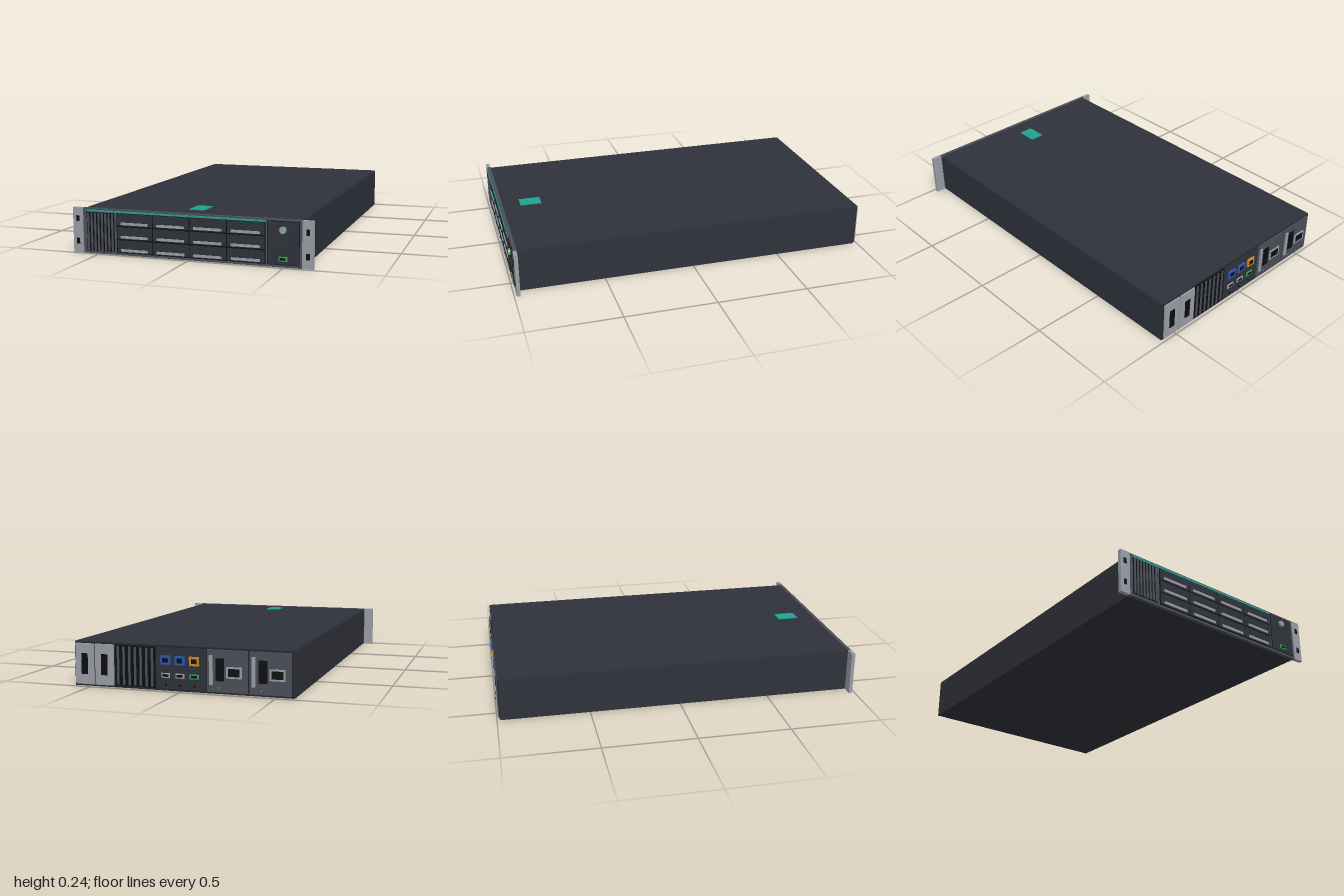
import * as THREE from 'three';

const mats = {};
const mat = (color) => (mats[color] ??= new THREE.MeshStandardMaterial({ color }));
const DARK = 0x2f323a, BLACK = 0x0c0d0f, BEZEL = 0x4b4f5a, LIGHT = 0x9a9ea6;
const TEAL = 0x1fa292, GREEN = 0x2fa84f, BLUE = 0x2a55b0, ORANGE = 0xc98a1e, SLAT = 0x4a4e57;

// Box given by its ranges in x, y and z
function box(parent, name, color, x0, x1, y0, y1, z0, z1) {
  const m = new THREE.Mesh(new THREE.BoxGeometry(x1 - x0, y1 - y0, Math.abs(z1 - z0)), mat(color));
  m.position.set((x0 + x1) / 2, (y0 + y1) / 2, (z0 + z1) / 2);
  m.name = name;
  parent.add(m);
  return m;
}

// Box given by its centre and size in x and y
const plate = (parent, name, color, x, y, w, h, z0, z1) =>
  box(parent, name, color, x - w / 2, x + w / 2, y - h / 2, y + h / 2, z0, z1);

// Short cylinder facing +z
function disc(parent, name, color, x, y, r, z0, z1, sides = 24) {
  const g = new THREE.CylinderGeometry(r, r, z1 - z0, sides).rotateX(Math.PI / 2);
  const m = new THREE.Mesh(g, mat(color));
  m.position.set(x, y, (z0 + z1) / 2);
  m.name = name;
  parent.add(m);
}

function group(parent, name) {
  const g = new THREE.Group();
  g.name = name;
  parent.add(g);
  return g;
}

function buildFront(root) {
  const front = group(root, 'frontPanel');
  box(front, 'bezel', BEZEL, -0.594, 0.594, 0, 0.24, 0.965, 0.984);
  box(front, 'accentStrip', TEAL, -0.57, 0.405, 0.223, 0.232, 0.98, 0.988);

  // Rack ears with their mounting slots
  for (const s of [-1, 1]) {
    const ear = group(front, s > 0 ? 'leftEar' : 'rightEar');
    plate(ear, 'earPlate', LIGHT, s * 0.621, 0.12, 0.058, 0.24, 0.967, 0.987);
    for (const y of [0.182, 0.062]) plate(ear, 'earSlot', BLACK, s * 0.622, y, 0.018, 0.031, 0.98, 0.9885);
  }

  // Slatted air intake
  const vent = group(front, 'airIntake');
  box(vent, 'intakeRecess', BLACK, -0.571, -0.413, 0.014, 0.219, 0.98, 0.986);
  for (let i = 0; i < 8; i++) plate(vent, 'intakeSlat', SLAT, -0.561 + i * 0.0197, 0.1165, 0.01, 0.2, 0.984, 0.991);

  // Drive bays, four columns by three rows
  const bays = group(front, 'driveBays');
  box(bays, 'bayRecess', BLACK, -0.4, 0.406, 0.012, 0.221, 0.98, 0.985);
  for (let c = 0; c < 4; c++) {
    for (let r = 0; r < 3; r++) {
      const x = -0.297 + c * 0.2005, y = 0.048 + r * 0.07;
      const bay = group(bays, 'driveBay');
      plate(bay, 'driveTray', DARK, x, y, 0.194, 0.062, 0.982, 0.99);
      plate(bay, 'trayHandle', LIGHT, x - 0.001, y - 0.02, 0.15, 0.013, 0.988, 0.995);
      plate(bay, 'trayLight', 0x1c4a2a, x - 0.073, y + 0.014, 0.006, 0.006, 0.988, 0.991);
    }
  }

  // Control panel
  const panel = group(front, 'controlPanel');
  box(panel, 'panelOutline', BLACK, 0.414, 0.579, 0.012, 0.231, 0.98, 0.9855);
  box(panel, 'panelFace', DARK, 0.417, 0.576, 0.015, 0.228, 0.982, 0.988);
  disc(panel, 'buttonRing', GREEN, 0.496, 0.188, 0.0185, 0.986, 0.993, 32);
  disc(panel, 'powerButton', LIGHT, 0.496, 0.188, 0.0165, 0.986, 1.0, 32);
  for (const x of [0.472, 0.496, 0.52])
    for (const y of [0.14, 0.119]) disc(panel, 'statusLight', 0x1c4a2a, x, y, 0.004, 0.986, 0.99, 12);
  plate(panel, 'portRim', GREEN, 0.496, 0.043, 0.044, 0.023, 0.986, 0.993);
  plate(panel, 'portOpening', BLACK, 0.496, 0.043, 0.031, 0.012, 0.99, 0.994);
}

function buildRear(root) {
  const rear = group(root, 'rearPanel');
  box(rear, 'rearFrame', 0x24262c, -0.588, 0.588, 0.004, 0.235, -0.986, -0.975);

  // Two expansion modules
  for (const x of [0.53, 0.418]) {
    const mod = group(rear, 'expansionModule');
    plate(mod, 'moduleFace', LIGHT, x, 0.12, 0.105, 0.215, -0.994, -0.98);
    plate(mod, 'moduleSlot', BLACK, x, 0.12, 0.036, 0.11, -0.996, -0.99);
  }

  // Exhaust grille
  const grille = group(rear, 'exhaustGrille');
  box(grille, 'grilleRecess', BLACK, 0.135, 0.358, 0.014, 0.226, -0.989, -0.98);
  for (let i = 0; i < 7; i++) plate(grille, 'grilleSlat', SLAT, 0.152 + i * 0.0315, 0.12, 0.012, 0.2, -0.993, -0.985);

  // Connector plate
  const io = group(rear, 'connectorPlate');
  box(io, 'connectorFace', DARK, -0.138, 0.13, 0.014, 0.226, -0.99, -0.98);
  [[0.077, BLUE], [0, BLUE], [-0.077, ORANGE]].forEach(([x, color]) => {
    plate(io, 'upperPort', color, x, 0.162, 0.052, 0.046, -1, -0.988);
    plate(io, 'upperPortOpening', BLACK, x, 0.162, 0.03, 0.024, -1.0005, -0.995);
    const rim = color === ORANGE ? GREEN : LIGHT;
    plate(io, 'lowerPort', rim, x, 0.083, 0.046, 0.024, -0.996, -0.988);
    plate(io, 'lowerPortOpening', BLACK, x, 0.083, 0.032, 0.013, -0.997, -0.99);
    disc(io, 'plateScrew', BLACK, x, 0.034, 0.006, -0.992, -0.988, 12);
  });

  // Two power supplies
  for (const x of [-0.251, -0.473]) {
    const psu = group(rear, 'powerSupply');
    plate(psu, 'supplyFace', BEZEL, x, 0.12, 0.212, 0.215, -0.992, -0.98);
    plate(psu, 'supplyHandle', LIGHT, x + 0.085, 0.125, 0.018, 0.15, -1, -0.988);
    plate(psu, 'supplyLatchSlot', BLACK, x + 0.038, 0.127, 0.044, 0.115, -0.994, -0.988);
    plate(psu, 'socketRim', LIGHT, x - 0.036, 0.115, 0.08, 0.058, -0.997, -0.988);
    plate(psu, 'socketOpening', BLACK, x - 0.036, 0.115, 0.06, 0.04, -0.998, -0.99);
    disc(psu, 'supplyLight', GREEN, x + 0.045, 0.034, 0.005, -0.994, -0.988, 12);
  }
}

export function createModel() {
  const root = new THREE.Group();
  root.name = 'rackServer';

  // Chassis, side panels and lid
  box(root, 'chassis', DARK, -0.585, 0.585, 0.002, 0.234, -0.98, 0.97);
  for (const s of [-1, 1]) plate(root, 'sidePanel', DARK, s * 0.588, 0.1175, 0.008, 0.233, -0.98, 0.97);
  box(root, 'lid', DARK, -0.585, 0.585, 0.23, 0.238, -0.985, 0.966);
  box(root, 'lidTag', TEAL, -0.042, 0.042, 0.236, 0.242, 0.745, 0.865);

  buildFront(root);
  buildRear(root);
  return root;
}
